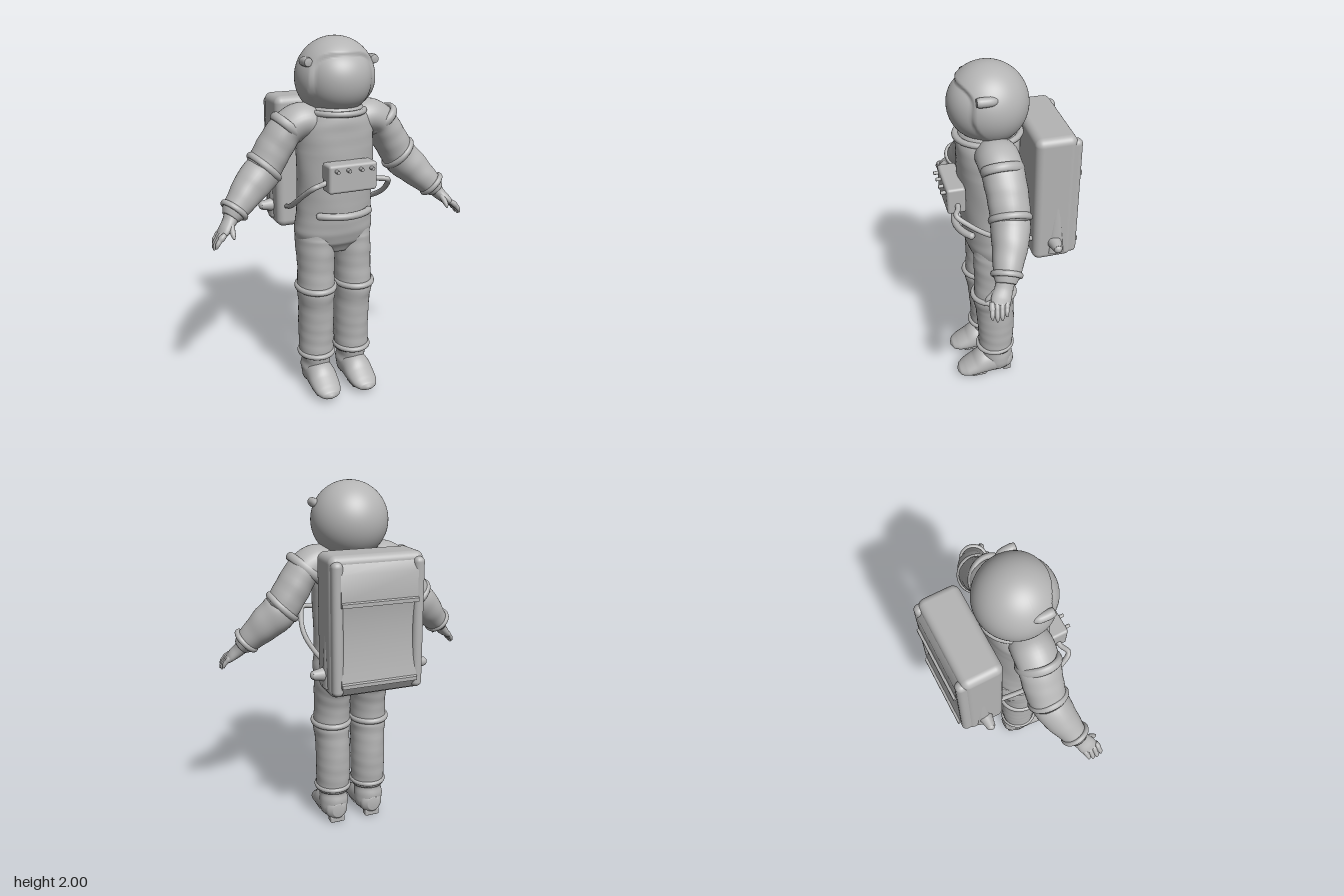
import * as THREE from 'three';
import { RoundedBoxGeometry } from 'three/addons/geometries/RoundedBoxGeometry.js';
import { toCreasedNormals } from 'three/addons/utils/BufferGeometryUtils.js';

const V = (x, y, z) => new THREE.Vector3(x, y, z);

// Smooth closed body through sections [x, y, z, halfWidth, halfDepth]; folds adds soft cloth ripples
function loft(sections, { ref = V(0, 0, 1), sides = 36, steps = 6, folds = 0, floor = -1 } = {}) {
  const centres = new THREE.CatmullRomCurve3(sections.map(s => V(s[0], s[1], s[2])));
  const radii = new THREE.CatmullRomCurve3(sections.map(s => V(s[3], s[4], 0)));
  const rows = (sections.length - 1) * steps, pos = [], idx = [];
  for (let i = 0; i <= rows; i++) {
    const k = i / rows, c = centres.getPoint(k), r = radii.getPoint(k), t = centres.getTangent(k);
    const v = ref.clone().addScaledVector(t, -ref.dot(t)).normalize();
    const u = v.clone().cross(t);
    for (let j = 0; j < sides; j++) {
      const a = j / sides * Math.PI * 2;
      const f = 1 + folds * Math.sin(2 * a + 55 * c.y) * Math.sin(3 * a - 31 * c.y + 1);
      const p = c.clone().addScaledVector(u, Math.cos(a) * r.x * f).addScaledVector(v, Math.sin(a) * r.y * f);
      pos.push(p.x, Math.max(p.y, floor), p.z);
      if (i < rows) {
        const n = (j + 1) % sides, b = i * sides;
        idx.push(b + j, b + n, b + sides + j, b + n, b + sides + n, b + sides + j);
      }
    }
  }
  // End caps
  for (const [row, flip] of [[0, true], [rows, false]]) {
    const c = centres.getPoint(row / rows), m = pos.length / 3, b = row * sides;
    pos.push(c.x, Math.max(c.y, floor), c.z);
    for (let j = 0; j < sides; j++) {
      const n = (j + 1) % sides;
      idx.push(m, b + (flip ? n : j), b + (flip ? j : n));
    }
  }
  const g = new THREE.BufferGeometry();
  g.setAttribute('position', new THREE.Float32BufferAttribute(pos, 3));
  g.setIndex(idx);
  g.computeVertexNormals();
  return g;
}

export function createModel() {
  const model = new THREE.Group();
  const suit = new THREE.MeshStandardMaterial({ color: 0xb4b4b4 });
  suit.name = 'suit grey';

  const add = (name, geometry, x = 0, y = 0, z = 0) => {
    const mesh = new THREE.Mesh(geometry, suit);
    mesh.name = name;
    mesh.position.set(x, y, z);
    model.add(mesh);
    return mesh;
  };
  // Raised cuff around a limb, facing along dir
  const cuff = (name, c, dir, rx, rz, tube, height) => {
    const g = new THREE.TorusGeometry(1, tube / rx, 10, 48);
    g.scale(rx, rz, height * rx / tube);
    add(name, g, ...c).quaternion.setFromUnitVectors(V(0, 0, 1), dir.normalize());
  };

  // Torso and pelvis
  add('torso', loft([
    [0, .84, .075, .13, .09], [0, .9, .07, .205, .135], [0, .97, .07, .225, .155], [0, 1.05, .075, .215, .16],
    [0, 1.2, .085, .21, .16], [0, 1.4, .09, .215, .162], [0, 1.52, .088, .21, .165],
    [0, 1.6, .085, .175, .165], [0, 1.65, .085, .14, .14],
  ], { sides: 56, folds: .008 }));

  // Helmet: sphere with a visor sunk inside a raised hood edge
  const helmet = new THREE.SphereGeometry(1, 96, 72);
  const hp = helmet.attributes.position;
  for (let i = 0; i < hp.count; i++) {
    const p = V().fromBufferAttribute(hp, i);
    const e = Math.pow(Math.abs(p.x / .84), 3.2) + Math.pow(Math.abs((p.y + .1) / .74), 3.2);
    let r = .21;
    if (p.z > 0) r -= THREE.MathUtils.smoothstep(1.12 - e, 0, .25) * (.004 + .012 * Math.min(e, 1));
    p.multiplyScalar(r);
    hp.setXYZ(i, p.x, p.y, p.z);
  }
  helmet.computeVertexNormals();
  add('helmet', helmet, 0, 1.79, .085);
  cuff('collar', [0, 1.622, .085], V(0, 1, 0), .15, .168, .016, .016);

  // Chest control box with knobs
  add('chestBox', new RoundedBoxGeometry(.27, .15, .1, 3, .015), -.003, 1.31, .285);
  for (const x of [-.1, -.035, .035, .095]) {
    const knob = add('chestKnob', new THREE.CylinderGeometry(.009, .011, .04, 12), x, 1.355, .342);
    knob.rotation.x = Math.PI / 2;
  }

  // Curved bar across the waist
  const bar = [];
  for (let i = 0; i <= 12; i++) {
    const a = (i / 12 - .5) * 1.5;
    bar.push(V(Math.sin(a) * .21, 1.085, .06 + Math.cos(a) * .215));
  }
  const barGeometry = new THREE.TubeGeometry(new THREE.CatmullRomCurve3(bar), 32, .02, 12);
  add('waistBar', barGeometry);
  for (const p of [bar[0], bar[12]]) add('waistBarEnd', new THREE.SphereGeometry(.02, 14, 10), p.x, p.y, p.z);

  // Backpack body, side rails and hollowed back panel
  add('backpack', new RoundedBoxGeometry(.516, .74, .22, 5, .04), 0, 1.3, -.21);
  const panel = new THREE.Shape();
  panel.moveTo(.28, 1.65);
  panel.lineTo(.315, 1.64);
  panel.lineTo(.345, 1.58);
  panel.lineTo(.348, 1.445);
  panel.lineTo(.362, 1.44);
  panel.lineTo(.362, 1.42);
  panel.lineTo(.335, 1.415);
  panel.quadraticCurveTo(.312, 1.25, .348, 1.02);
  panel.lineTo(.362, 1.015);
  panel.lineTo(.362, .995);
  panel.lineTo(.345, .99);
  panel.lineTo(.315, .945);
  panel.lineTo(.28, .94);
  const panelGeometry = new THREE.ExtrudeGeometry(panel, { depth: .42, bevelEnabled: false, curveSegments: 14 });
  panelGeometry.rotateY(Math.PI / 2);
  add('backPanel', toCreasedNormals(panelGeometry, .5), -.21, 0, 0);

  for (const s of [1, -1]) {
    const P = list => list.map(([x, ...rest]) => [x * s, ...rest]);
    const side = s > 0 ? 'left' : 'right';

    // Backpack rail, side knob and rib
    add(side + 'BackpackRail', new RoundedBoxGeometry(.06, .7, .12, 4, .028), s * .222, 1.295, -.287);
    const valve = add(side + 'BackpackKnob', new THREE.CylinderGeometry(.024, .04, .075, 20), s * .285, 1.04, -.215);
    valve.rotation.z = -s * Math.PI / 2;
    add(side + 'BackpackKnobTip', new THREE.SphereGeometry(.025, 16, 12), s * .312, 1.04, -.215);
    const rib = add(side + 'BackpackRib', new THREE.CylinderGeometry(.008, .045, .36, 16), s * .252, 1.15, -.225);
    rib.scale.x = .4;

    // Hose from chest box to backpack
    const hose = new THREE.CatmullRomCurve3(
      P([[.12, 1.29, .28], [.155, 1.28, .285], [.205, 1.275, .305], [.235, 1.23, .25], [.25, 1.16, .15],
        [.235, 1.1, .03], [.205, 1.05, -.12]]).map(p => V(...p)));
    add(side + 'Hose', new THREE.TubeGeometry(hose, 48, .014, 12));

    // Helmet side lamp
    const lamp = add(side + 'HelmetLamp', loft(P([
      [.165, 1.875, .07, .015, .014], [.18, 1.88, .11, .026, .024], [.184, 1.882, .16, .025, .025],
      [.183, 1.882, .18, .021, .021],
    ]), { ref: V(0, 1, 0), sides: 18 }));

    // Arm
    add(side + 'UpperArm', loft(P([
      [.1, 1.555, .085, .085, .1], [.19, 1.575, .08, .095, .11], [.265, 1.54, .075, .09, .108],
      [.33, 1.45, .07, .095, .105], [.4, 1.335, .07, .095, .1],
    ]), { folds: .02 }));
    add(side + 'Forearm', loft(P([
      [.37, 1.375, .07, .085, .09], [.41, 1.32, .075, .1, .1], [.47, 1.265, .092, .095, .093],
      [.53, 1.205, .118, .08, .08], [.585, 1.15, .142, .065, .065], [.61, 1.125, .152, .045, .05],
    ]), { folds: .018 }));
    cuff(side + 'ShoulderCuff', [s * .262, 1.547, .075], V(s * .67, -.74, 0), .09, .106, .014, .024);
    cuff(side + 'ElbowCuff', [s * .393, 1.347, .072], V(s * .7, -.7, .08), .097, .097, .014, .018);
    cuff(side + 'WristCuff', [s * .582, 1.158, .14], V(s * .68, -.68, .26), .069, .069, .012, .015);

    // Glove: palm, four fingers and a thumb
    add(side + 'Palm', loft(P([
      [.59, 1.145, .145, .045, .05], [.62, 1.105, .165, .034, .046], [.65, 1.075, .185, .028, .05],
      [.675, 1.05, .198, .018, .046],
    ]), { sides: 22 }));
    for (let f = 0; f < 4; f++) {
      const z = .162 + f * .024, drop = [.015, .002, 0, .012][f];
      add(side + 'Finger', loft(P([
        [.66, 1.07, z, .013, .013], [.69, 1.042, z + .006, .013, .013],
        [.71 - drop * .5, 1.012 + drop, z + .01, .012, .012], [.718 - drop * .5, .99 + drop, z + .01, .005, .005],
      ]), { sides: 12, steps: 4 }));
    }
    add(side + 'Thumb', loft(P([
      [.615, 1.11, .185, .018, .018], [.62, 1.085, .215, .016, .016],
      [.622, 1.062, .243, .013, .013], [.622, 1.045, .258, .005, .005],
    ]), { ref: V(1, 0, 0), sides: 12, steps: 4 }));

    // Leg
    add(side + 'Thigh', loft(P([
      [.105, 1, .065, .095, .13], [.108, .92, .062, .106, .14], [.11, .83, .075, .106, .128],
      [.112, .73, .085, .102, .115], [.115, .62, .092, .105, .115],
    ]), { folds: .014 }));
    add(side + 'Shin', loft(P([
      [.114, .66, .092, .1, .11], [.114, .6, .092, .106, .12], [.112, .54, .086, .1, .113],
      [.11, .4, .08, .101, .11], [.111, .29, .08, .1, .104], [.112, .2, .085, .098, .1],
    ]), { folds: .016 }));
    cuff(side + 'KneeCuff', [s * .116, .635, .092], V(0, 1, 0), .104, .12, .014, .017);
    cuff(side + 'AnkleCuff', [s * .112, .222, .086], V(0, 1, 0), .096, .103, .013, .015);

    // Boot with heel cleats
    add(side + 'BootShaft', loft(P([
      [.112, .23, .085, .092, .098], [.112, .17, .08, .08, .09], [.112, .12, .075, .086, .092],
      [.112, .05, .07, .075, .085],
    ]), { folds: .03 }));
    add(side + 'BootFoot', loft(P([
      [.112, .085, -.02, .035, .04], [.112, .085, .01, .065, .07], [.112, .09, .08, .08, .085],
      [.112, .09, .15, .083, .085], [.113, .07, .21, .083, .062], [.115, .052, .27, .074, .042],
      [.116, .043, .31, .05, .026], [.116, .04, .326, .012, .008],
    ]), { ref: V(0, 1, 0), floor: .02 }));
    add(side + 'HeelCleat', new RoundedBoxGeometry(.09, .04, .05, 2, .008), s * .112, .02, .02);
    add(side + 'SoleCleat', new RoundedBoxGeometry(.12, .03, .09, 2, .008), s * .113, .025, .2);
  }
  return model;
}
